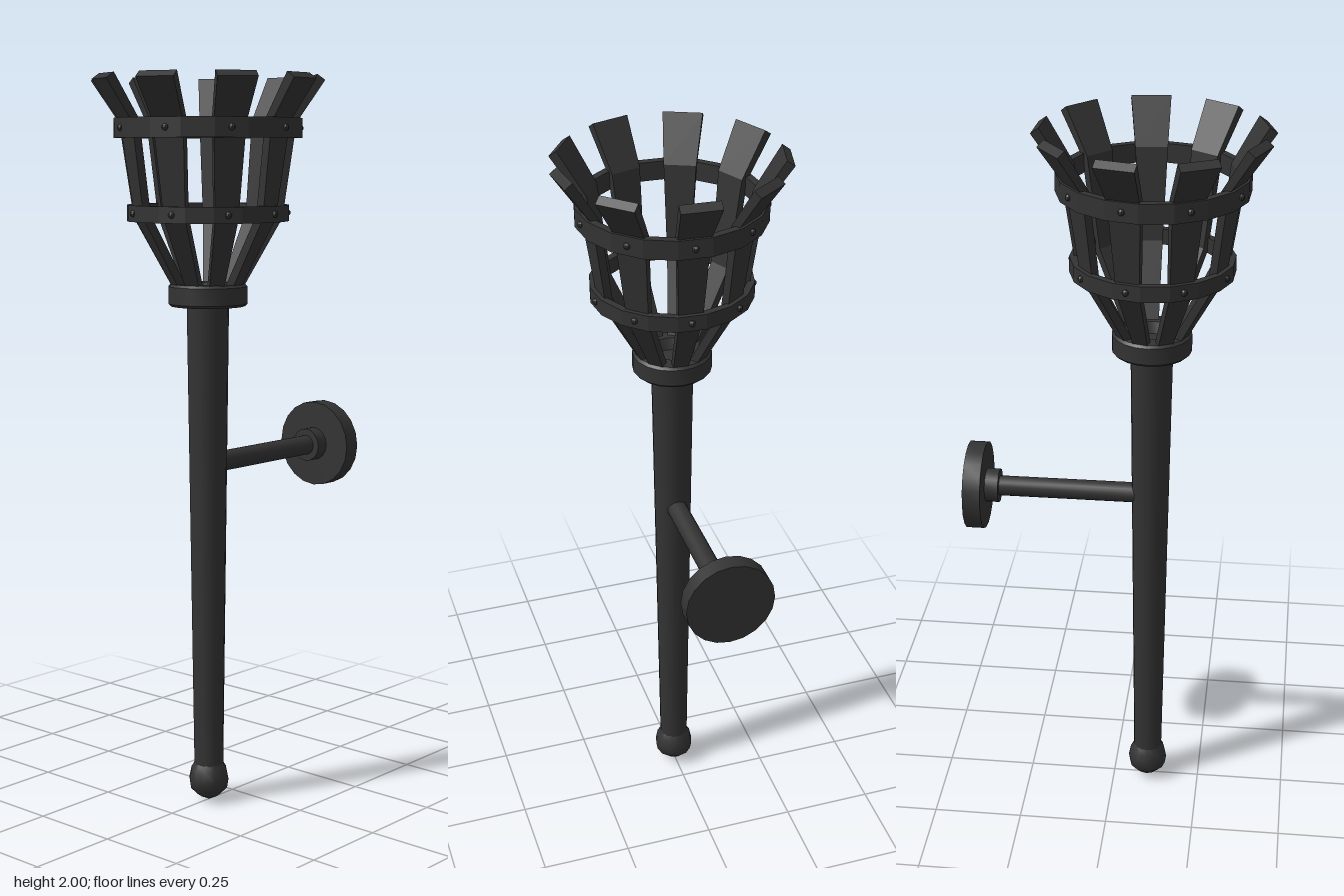
import * as THREE from 'three';
import { toCreasedNormals } from 'three/addons/utils/BufferGeometryUtils.js';

const iron = new THREE.MeshStandardMaterial({ color: 0x333333 });
iron.name = 'dark iron';

const SLATS = 9;
const FIRST = THREE.MathUtils.degToRad(-6.6); // direction of the first slat, from +x towards +z

function addMesh(parent, name, geometry, crease = 0.7) {
  const mesh = new THREE.Mesh(toCreasedNormals(geometry, crease), iron);
  mesh.name = name;
  parent.add(mesh);
  return mesh;
}

// Profile of [radius, y] pairs, listed upwards along the outside
function lathe(profile, sides, start = 0) {
  return new THREE.LatheGeometry(profile.map(([r, y]) => new THREE.Vector2(r, y)), sides, start);
}

// Bent, widening slat along +x; sections are [outer r, outer y, inner r, inner y, half width]
function slatGeometry() {
  const sections = [
    [0.085, 1.425, 0.065, 1.435, 0.019],
    [0.197, 1.625, 0.177, 1.635, 0.031],
    [0.232, 1.875, 0.212, 1.882, 0.043],
    [0.306, 1.985, 0.285, 2.0, 0.053],
  ];
  const positions = [];
  const index = [];
  sections.forEach(([ro, yo, ri, yi, w], i) => {
    positions.push(ro, yo, -w, ro, yo, w, ri, yi, w, ri, yi, -w);
    if (i === sections.length - 1) return;
    for (let j = 0; j < 4; j++) {
      const a = i * 4 + j;
      const b = i * 4 + ((j + 1) % 4);
      index.push(b, a, a + 4, b, a + 4, b + 4);
    }
  });
  const t = (sections.length - 1) * 4;
  index.push(0, 1, 2, 0, 2, 3, t + 3, t + 2, t + 1, t + 3, t + 1, t);
  const geometry = new THREE.BufferGeometry();
  geometry.setAttribute('position', new THREE.Float32BufferAttribute(positions, 3));
  geometry.setIndex(index);
  return geometry;
}

export function createModel() {
  const model = new THREE.Group();
  model.name = 'wallTorch';

  const torch = new THREE.Group();
  torch.name = 'torch';
  torch.position.z = 0.099;
  model.add(torch);

  // Tapered handle and the knob at its foot
  addMesh(torch, 'handle', lathe([[0.04, 0.08], [0.057, 1.4]], 16));
  addMesh(torch, 'knob', lathe([
    [0, 0.003], [0.03, 0.018], [0.052, 0.04], [0.056, 0.065], [0.05, 0.095], [0.038, 0.115], [0, 0.115],
  ], 12), 0.9);

  // Collar with a shallow socket
  addMesh(torch, 'collar', lathe([
    [0.05, 1.39], [0.1, 1.39], [0.107, 1.397], [0.107, 1.443], [0.1, 1.45],
    [0.06, 1.45], [0.048, 1.42], [0, 1.42],
  ], 20));

  // Basket of flared slats
  const slat = slatGeometry();
  for (let i = 0; i < SLATS; i++) {
    addMesh(torch, 'basketSlat', slat, 0.2).rotation.y = -(FIRST + (i * Math.PI * 2) / SLATS);
  }

  // Hoops around the basket, each with one rivet per slat
  const hoops = [
    { name: 'lowerHoop', inner: 0.197, outer: 0.217, y0: 1.617, y1: 1.66 },
    { name: 'upperHoop', inner: 0.23, outer: 0.251, y0: 1.835, y1: 1.887 },
  ];
  for (const { name, inner, outer, y0, y1 } of hoops) {
    addMesh(torch, name, lathe(
      [[outer, y0], [outer, y1], [inner, y1], [inner, y0], [outer, y0]], SLATS * 2, -FIRST,
    ), 0.2);
    for (let i = 0; i < SLATS; i++) {
      const angle = FIRST + (i * Math.PI * 2) / SLATS;
      const r = outer * Math.cos(Math.PI / (SLATS * 2));
      addMesh(torch, 'rivet', new THREE.SphereGeometry(0.009, 8, 6), 1)
        .position.set(r * Math.cos(angle), (y0 + y1) / 2, r * Math.sin(angle));
    }
  }

  // Wall bracket: arm, flange and round plate along z
  const bracket = [
    ['bracketArm', 0.028, 0.08, -0.34, 16],
    ['bracketFlange', 0.047, -0.322, -0.37, 16],
    ['wallPlate', 0.122, -0.359, -0.408, 20],
  ];
  for (const [name, radius, front, back, sides] of bracket) {
    const geometry = new THREE.CylinderGeometry(radius, radius, front - back, sides);
    geometry.rotateX(Math.PI / 2);
    addMesh(model, name, geometry).position.set(0, 0.96, (front + back) / 2);
  }

  return model;
}
